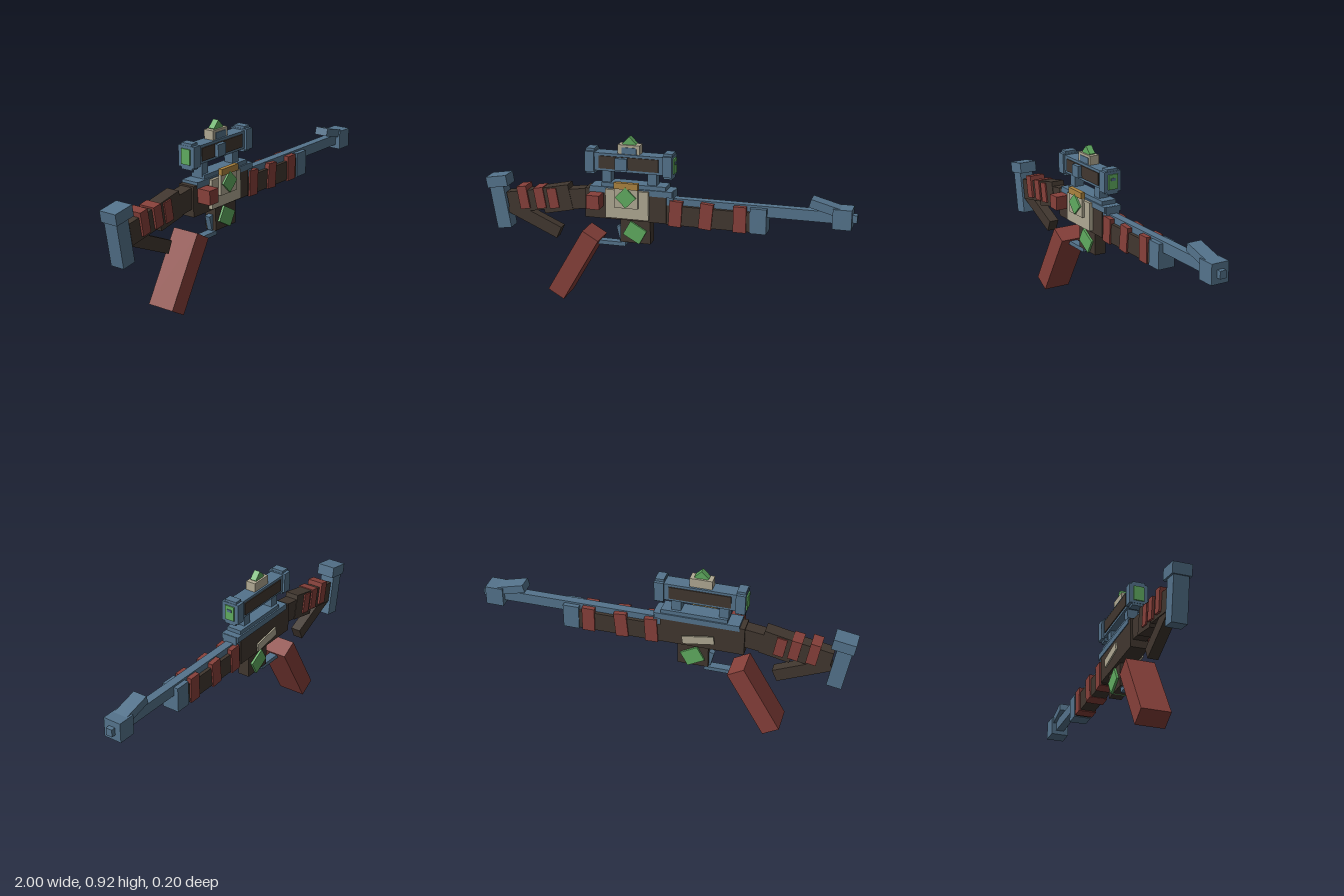
import * as THREE from 'three';

const mat = (name, color) => {
  const m = new THREE.MeshStandardMaterial({ color });
  m.name = name;
  return m;
};

export function createModel() {
  const steel = mat('blue steel', 0x54738c);
  const wood = mat('dark wood', 0x41372f);
  const leather = mat('red leather', 0x87403a);
  const crystal = mat('green crystal', 0x60ac60);
  const bone = mat('pale bone', 0xb0a993);
  const brass = mat('brass', 0xac843f);

  const model = new THREE.Group();
  model.name = 'rifle';
  const MID = -0.0225; // centre plane of the rifle

  // Box from centre, size, tilt in degrees about z, and centre depth
  const box = (name, m, x, y, w, h, d, tilt = 0, z = MID) => {
    const mesh = new THREE.Mesh(new THREE.BoxGeometry(w, h, d), m);
    mesh.name = name;
    mesh.position.set(x, y, z);
    mesh.rotation.z = THREE.MathUtils.degToRad(tilt);
    model.add(mesh);
    return mesh;
  };

  // Shoulder stock
  box('buttCap', steel, -0.936, 0.628, 0.118, 0.06, 0.1, 9.5);
  box('buttPlate', steel, -0.923, 0.485, 0.08, 0.24, 0.08, 9.5);
  box('stockRear', wood, -0.765, 0.532, 0.23, 0.115, 0.065, 10);
  box('stockMiddle', wood, -0.6, 0.556, 0.165, 0.14, 0.075, 12);
  box('stockNeck', wood, -0.475, 0.568, 0.17, 0.11, 0.07, 8);
  box('stockStrut', wood, -0.735, 0.427, 0.31, 0.068, 0.055, -24);
  [[-0.787, 0.55, 0.125], [-0.692, 0.555, 0.115], [-0.617, 0.56, 0.11]].forEach(([x, y, h]) =>
    box('stockWrap', leather, x, y, 0.054, h, 0.09, 10));

  // Receiver and top rail
  box('receiver', wood, -0.21, 0.557, 0.445, 0.16, 0.092);
  box('railBase', steel, -0.18, 0.636, 0.45, 0.032, 0.1);
  box('railTop', steel, -0.165, 0.661, 0.35, 0.026, 0.085);
  box('railFrontBlock', steel, 0.022, 0.611, 0.054, 0.08, 0.08);
  box('sideKnob', leather, -0.365, 0.583, 0.07, 0.075, 0.08, 0, 0.06);

  // Side ornament
  box('sidePlate', bone, -0.195, 0.568, 0.235, 0.155, 0.022, 0, 0.034);
  box('sidePlateRaised', bone, -0.195, 0.607, 0.13, 0.108, 0.015, 0, 0.052);
  box('sidePlateCap', brass, -0.193, 0.675, 0.132, 0.034, 0.024, 0, 0.055);
  box('sideGem', crystal, -0.195, 0.613, 0.08, 0.08, 0.012, 45, 0.063);
  box('backPlate', bone, -0.195, 0.537, 0.17, 0.046, 0.009, -9, -0.088);

  // Magazine with a gem on each face
  box('magazine', wood, -0.16, 0.415, 0.165, 0.13, 0.066);
  box('magazineGem', crystal, -0.16, 0.41, 0.102, 0.085, 0.09, -29);

  // Trigger, guard and grip
  box('triggerGuard', steel, -0.305, 0.332, 0.165, 0.022, 0.045);
  box('guardFront', steel, -0.228, 0.345, 0.02, 0.04, 0.045);
  box('trigger', steel, -0.247, 0.392, 0.028, 0.08, 0.03, 14);
  box('grip', leather, -0.5, 0.203, 0.1, 0.405, 0.153, -30);

  // Fore end and barrel
  box('foreEnd', wood, 0.235, 0.524, 0.446, 0.105, 0.082);
  [[0.062, -3], [0.225, -5], [0.404, 0]].forEach(([x, tilt]) =>
    box('foreWrap', leather, x, 0.535, 0.068, 0.138, 0.098, tilt));
  box('foreEndCap', steel, 0.5, 0.534, 0.086, 0.134, 0.094);
  box('barrel', steel, 0.44, 0.583, 0.9, 0.058, 0.045);
  box('muzzle', steel, 0.928, 0.583, 0.096, 0.105, 0.098);
  box('muzzleTip', steel, 0.988, 0.583, 0.024, 0.04, 0.035);
  box('frontSight', steel, 0.866, 0.626, 0.215, 0.044, 0.078, -15);

  // Scope
  const sx = -0.193, sy = 0.783;
  box('scopeBody', steel, sx, sy, 0.39, 0.096, 0.076);
  for (const s of [-1, 1]) {
    box('scopePanel', wood, sx, sy, 0.325, 0.068, 0.009, 0, MID + s * 0.039);
    box('scopeRing', steel, sx + s * 0.212, sy, 0.05, 0.11, 0.1);
    box('scopeRingCore', steel, sx + s * 0.212, sy, 0.046, 0.136, 0.068);
    box('scopeLens', crystal, sx + s * 0.239, sy, 0.009, 0.08, 0.055);
    box('scopeMount', steel, sx + s * 0.125, 0.7, 0.05, 0.075, 0.055);
  }
  box('scopeKnob', steel, -0.227, 0.783, 0.064, 0.064, 0.03, 0, 0.028);
  box('lensMark', steel, sx + 0.245, 0.797, 0.004, 0.014, 0.026);

  // Scope turret with gem
  box('turret', bone, -0.195, 0.855, 0.118, 0.05, 0.055);
  box('turretWindow', steel, -0.193, 0.85, 0.08, 0.034, 0.004, 0, MID + 0.029);
  box('turretGem', crystal, -0.195, 0.885, 0.054, 0.054, 0.034, 45);

  return model;
}
